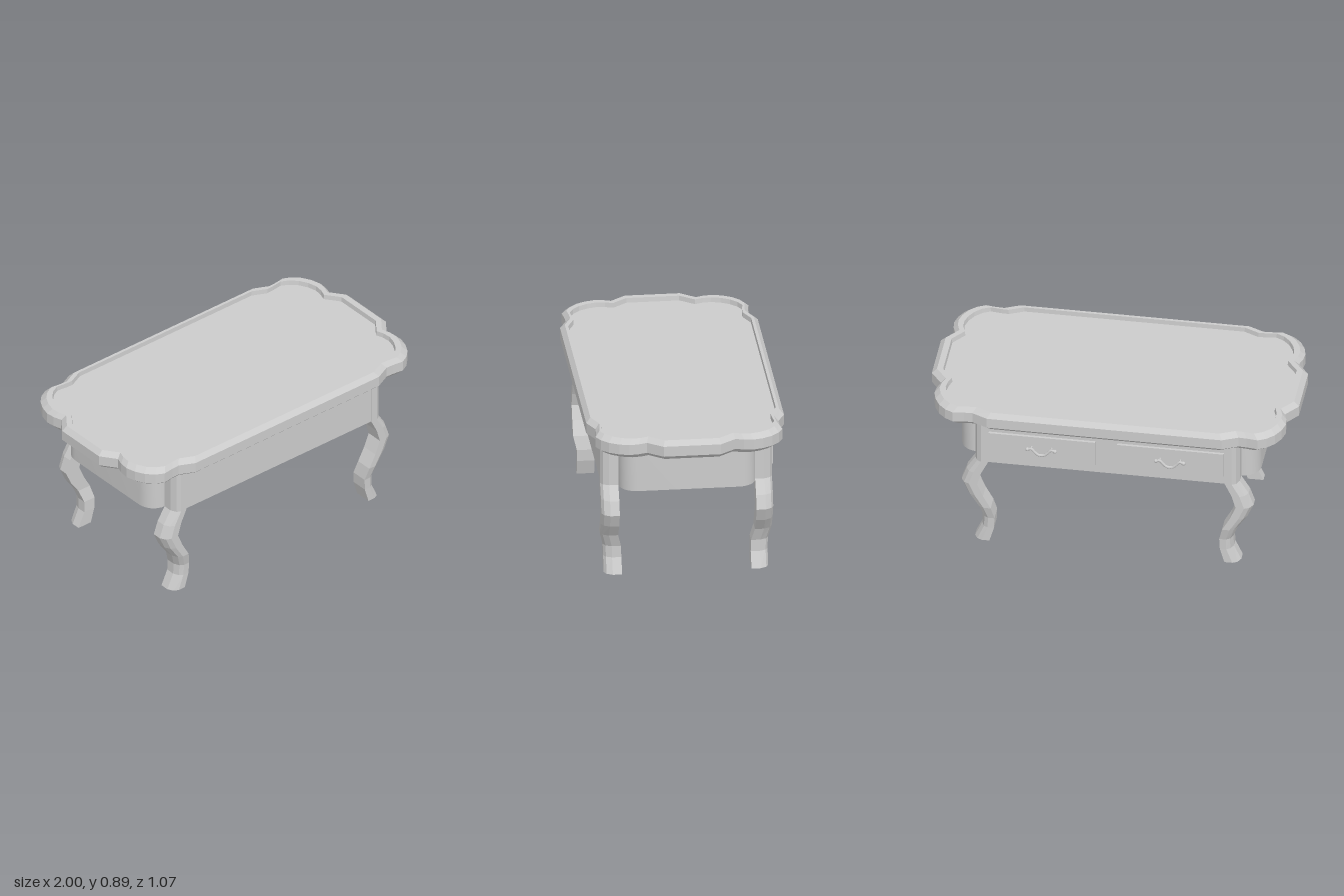
import * as THREE from 'three';
import { toCreasedNormals } from 'three/addons/utils/BufferGeometryUtils.js';

const grey = new THREE.MeshStandardMaterial({ color: 0xcccccc });

function add(parent, name, geometry) {
  const mesh = new THREE.Mesh(geometry, grey);
  mesh.name = name;
  parent.add(mesh);
  return mesh;
}

// Mirrors a quarter outline (from +z round to +x) into a closed outline
function mirrorQuarter(q) {
  const r = [...q].reverse();
  return [
    ...q,
    ...r.map(([x, z]) => [x, -z]),
    ...q.map(([x, z]) => [-x, -z]),
    ...r.map(([x, z]) => [-x, z]),
  ];
}

// Skins a stack of rings of [x, y, z] points and closes both ends with fans
function loft(rings) {
  const pos = [];
  const tri = (a, b, c) => pos.push(...a, ...b, ...c);
  const n = rings[0].length;
  const centre = (ring) => [0, 1, 2].map((k) => ring.reduce((s, p) => s + p[k], 0) / n);
  const first = rings[0], last = rings[rings.length - 1];
  const c0 = centre(first), c1 = centre(last);
  for (let i = 0; i < n; i++) {
    const j = (i + 1) % n;
    tri(c0, first[j], first[i]);
    tri(c1, last[i], last[j]);
    for (let k = 0; k + 1 < rings.length; k++) {
      const a = rings[k], b = rings[k + 1];
      tri(a[i], a[j], b[j]);
      tri(a[i], b[j], b[i]);
    }
  }
  const g = new THREE.BufferGeometry();
  g.setAttribute('position', new THREE.Float32BufferAttribute(pos, 3));
  g.computeVertexNormals();
  return g;
}

// Upright slab from a plan outline
function slab(outline, y0, y1) {
  const shape = new THREE.Shape(outline.map(([x, z]) => new THREE.Vector2(x, z)));
  const g = new THREE.ExtrudeGeometry(shape, { depth: y1 - y0, bevelEnabled: false });
  g.rotateX(-Math.PI / 2).translate(0, y0, 0);
  return toCreasedNormals(g, 0.5);
}

function createTop() {
  const outline = mirrorQuarter([
    [0.64, 0.535], [0.725, 0.495], [0.77, 0.497], [0.83, 0.505], [0.875, 0.482], [0.915, 0.442],
    [0.943, 0.39], [0.957, 0.335], [0.952, 0.285], [0.937, 0.24], [1, 0.155],
  ]);
  // Scale in x, scale in z, height: bevelled edge, rim, then the sunken panel
  const steps = [
    [0.973, 0.95, 0.777], [1, 1, 0.802], [1, 1, 0.86],
    [0.973, 0.955, 0.886], [0.94, 0.925, 0.886], [0.936, 0.922, 0.86],
  ];
  return loft(steps.map(([sx, sz, y]) => outline.map(([x, z]) => [x * sx, y, z * sz])));
}

// Cabriole leg that continues upward as the corner post
function createLeg(sx, sz) {
  // Height, inner x, outer x, shift in z
  const stations = [
    [0, 0.64, 0.725, -0.02], [0.085, 0.615, 0.685, -0.02], [0.15, 0.612, 0.683, -0.018],
    [0.225, 0.63, 0.71, 0], [0.3, 0.672, 0.762, 0], [0.375, 0.704, 0.795, 0],
    [0.45, 0.682, 0.768, 0], [0.525, 0.645, 0.72, 0], [0.79, 0.645, 0.72, 0],
  ];
  const section = [[0, 0.465], [0.5, 0.465], [0.8, 0.452], [1, 0.42], [1, 0.37], [0, 0.37]];
  if (sx * sz < 0) section.reverse();
  return loft(stations.map(([y, xi, xo, dz]) =>
    section.map(([u, z]) => [sx * (xi + (xo - xi) * u), y, sz * (z + dz)])));
}

// Drawer front with a curved pull, facing -z
function createDrawer(x) {
  const drawer = new THREE.Group();
  drawer.name = 'drawer';
  drawer.position.set(x, 0.65, -0.46);
  add(drawer, 'drawerFront', new THREE.BoxGeometry(0.58, 0.15, 0.03));
  const path = [
    [-0.075, 0.008], [-0.055, 0.014], [-0.035, -0.006], [-0.015, -0.022],
    [0.015, -0.022], [0.035, -0.006], [0.055, 0.014], [0.075, 0.008],
  ].map(([px, py]) => new THREE.Vector3(px, py, -0.037));
  add(drawer, 'handle', new THREE.TubeGeometry(new THREE.CatmullRomCurve3(path), 28, 0.008, 8));
  for (const s of [-1, 1]) {
    const post = add(drawer, 'handlePost', new THREE.CylinderGeometry(0.006, 0.006, 0.03, 8));
    post.rotation.x = Math.PI / 2;
    post.position.set(s * 0.055, 0.012, -0.026);
    add(drawer, 'handleEnd', new THREE.SphereGeometry(0.011, 10, 8))
      .position.set(s * 0.075, 0.008, -0.036);
  }
  return drawer;
}

export function createModel() {
  const table = new THREE.Group();
  table.name = 'table';

  add(table, 'tableTop', createTop());

  // Apron with rounded ends behind the corner posts
  const quarter = [[0.69, 0.46], [0.69, 0.37]];
  for (let i = 0; i <= 8; i++) {
    const a = (i / 8) * Math.PI / 2;
    quarter.push([0.72 + 0.095 * Math.sin(a), 0.27 + 0.1 * Math.cos(a)]);
  }
  add(table, 'apron', slab(mirrorQuarter(quarter), 0.525, 0.785));

  // Bottom board, notched round the legs
  add(table, 'bottomBoard', slab(mirrorQuarter([
    [0.63, 0.435], [0.63, 0.355], [0.7, 0.32], [0.785, 0.245],
  ]), 0.513, 0.53));

  for (const sx of [-1, 1]) {
    for (const sz of [-1, 1]) {
      add(table, (sz > 0 ? 'front' : 'back') + (sx > 0 ? 'Left' : 'Right') + 'Leg', createLeg(sx, sz));
    }
    table.add(createDrawer(sx * 0.35));
  }
  return table;
}
